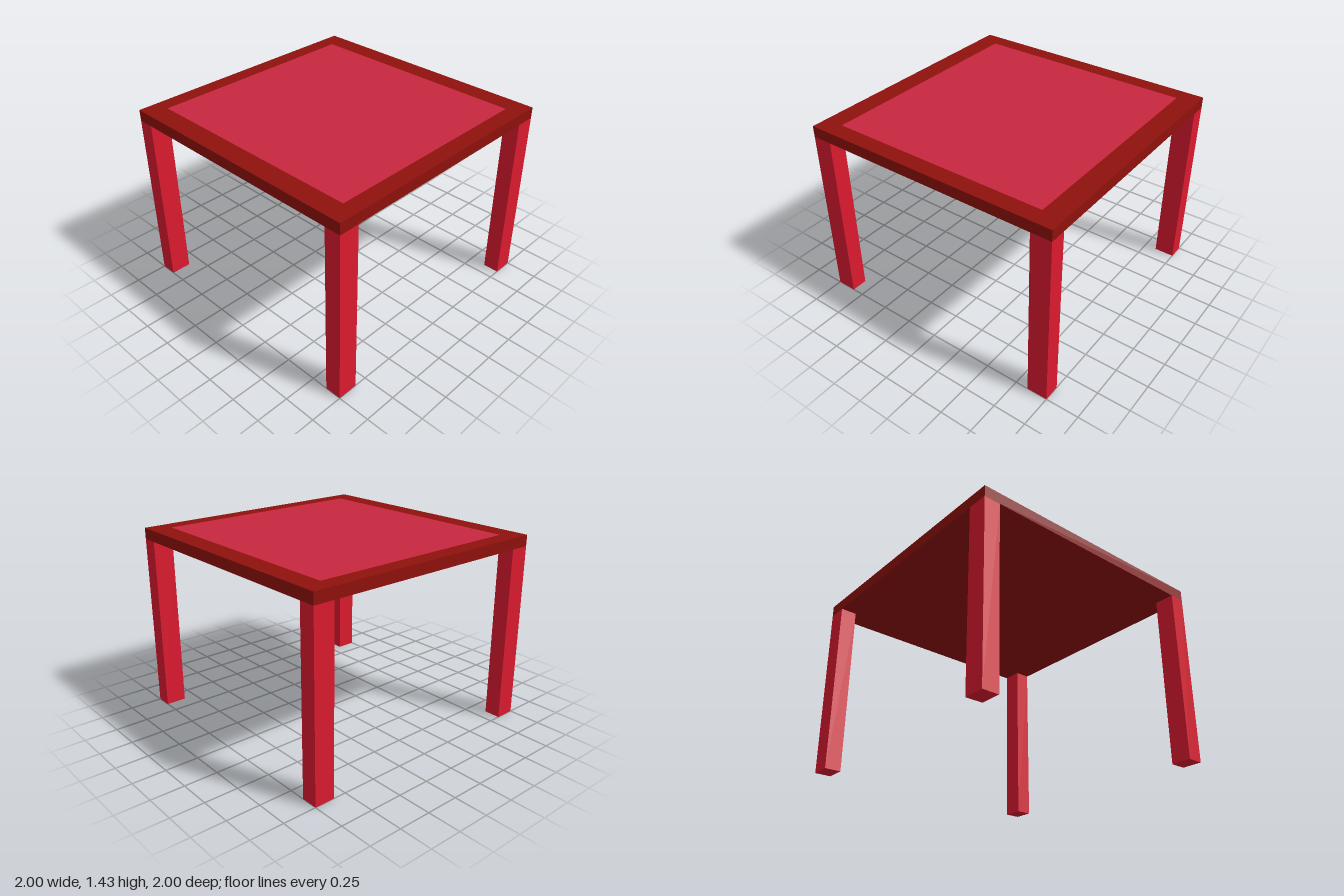
import * as THREE from 'three';

const material = (color) => new THREE.MeshStandardMaterial({ color });

export function createModel() {
  const table = new THREE.Group();
  table.name = 'table';

  const height = 1.43, slab = 0.085, legX = 0.125, legZ = 0.155;
  const legHeight = height - slab;

  const add = (name, geometry, mat, x, y, z) => {
    const mesh = new THREE.Mesh(geometry, mat);
    mesh.name = name;
    mesh.position.set(x, y, z);
    table.add(mesh);
  };

  // Dark square top
  add('tableTop', new THREE.BoxGeometry(2, slab, 2), material(0x8f110c), 0, height - slab / 2, 0);

  // Lighter inlay, practically flush with the top
  const inlay = new THREE.PlaneGeometry(2 - 2 * legX, 2 - 2 * legZ).rotateX(-Math.PI / 2);
  add('inlayPanel', inlay, material(0xc8273f), 0, height + 0.001, 0);

  // Four corner legs, flush with the edges of the top
  const legGeometry = new THREE.BoxGeometry(legX, legHeight, legZ);
  const legMaterial = material(0xdc1a2f);
  for (const [side, sx] of [['Left', 1], ['Right', -1]]) {
    for (const [end, sz] of [['front', 1], ['back', -1]]) {
      add(`${end}${side}Leg`, legGeometry, legMaterial, sx * (1 - legX / 2), legHeight / 2, sz * (1 - legZ / 2));
    }
  }
  return table;
}
